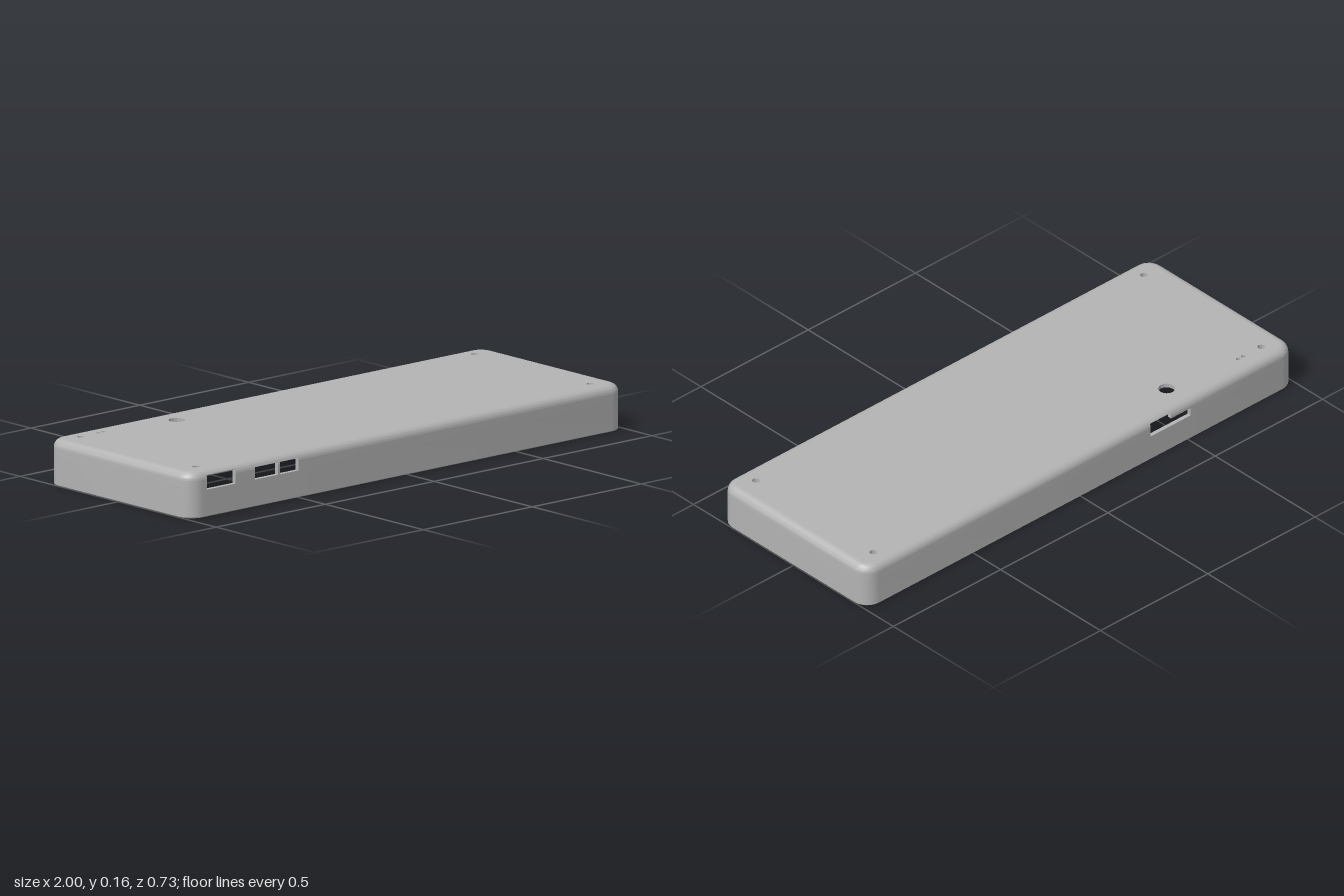
import * as THREE from 'three';
import { toCreasedNormals } from 'three/addons/utils/BufferGeometryUtils.js';

const HX = 1, HZ = 0.365, H = 0.16, R = 0.06, EDGE = 0.03, WALL = 0.015;
const X = HX - R, Z = HZ - R;

// Wall openings: side (+1 front, -1 back), x range, y range
const y30 = H - EDGE + EDGE * Math.sin(Math.PI / 6);
const y15 = H - EDGE + EDGE * Math.sin(Math.PI / 12);
const openings = [
  [1, -0.92, -0.79, 0.095, y30],
  [1, -0.70, -0.595, 0.095, y15],
  [1, -0.585, -0.50, 0.095, y15],
  [-1, -0.51, -0.42, 0.095, 0.125],
  [-1, -0.42, -0.325, 0.095, y30],
];

// Points around the outline: corner-arc centre (or straight point) plus outward normal
function outline() {
  const list = [];
  const corners = [[X, Z], [-X, Z], [-X, -Z], [X, -Z]];
  corners.forEach(([cx, cz], k) => {
    for (let i = 0; i <= 8; i++) {
      const a = (k + i / 8) * Math.PI / 2;
      list.push({ cx, cz, nx: Math.cos(a), nz: Math.sin(a) });
    }
    if (k % 2 === 0) {
      const side = k === 0 ? 1 : -1;
      const xs = new Set(openings.filter(o => o[0] === side).flatMap(o => [o[1], o[2]]));
      [...xs].sort((a, b) => (a - b) * -side)
        .forEach(x => list.push({ cx: x, cz, nx: 0, nz: side }));
    }
  });
  return list;
}

// Walls and rounded top edge, swept around the outline and skipping the openings
function shellGeometry() {
  const outer = [[0.003, 0], [0, 0.003], [0, 0.095], [0, 0.125]];
  const inner = outer.map(([, y]) => [WALL, y]);
  for (let i = 0; i <= 12; i++) {
    const a = i * Math.PI / 24, c = Math.cos(a), s = Math.sin(a), r = EDGE - WALL;
    outer.push([EDGE - EDGE * c, H - EDGE + EDGE * s]);
    inner.push([EDGE - r * c, H - EDGE + r * s]);
  }
  const st = outline(), n = st.length, m = outer.length - 1;
  const point = (prof, i, j) => {
    const s = st[i % n], [d, y] = prof[j];
    return [s.cx + s.nx * (R - d), y, s.cz + s.nz * (R - d)];
  };
  const isOpen = (i, j) => {
    if (j < 0) return true;
    if (j >= m) return false;
    const a = st[(i + n) % n], b = st[(i + 1) % n];
    const x = (a.cx + b.cx) / 2, y = (outer[j][1] + outer[j + 1][1]) / 2;
    return openings.some(o => Math.abs(a.nz - o[0]) < 1e-6 && Math.abs(b.nz - o[0]) < 1e-6
      && x > o[1] && x < o[2] && y > o[3] && y < o[4]);
  };
  const pos = [];
  const quad = (a, b, c, d) => pos.push(...a, ...b, ...c, ...a, ...c, ...d);
  for (let i = 0; i < n; i++) {
    for (let j = 0; j < m; j++) {
      if (isOpen(i, j)) continue;
      const ids = [[i, j], [i, j + 1], [i + 1, j + 1], [i + 1, j]];
      const O = ids.map(([p, q]) => point(outer, p, q));
      const I = ids.map(([p, q]) => point(inner, p, q));
      quad(...O);
      quad(I[0], I[3], I[2], I[1]);
      // Cut faces beside an opening and along the bottom rim
      [[i - 1, j], [i, j + 1], [i + 1, j], [i, j - 1]].forEach(([p, q], k) => {
        const l = (k + 1) % 4;
        if (isOpen(p, q)) quad(O[l], O[k], I[k], I[l]);
      });
    }
  }
  const g = new THREE.BufferGeometry();
  g.setAttribute('position', new THREE.Float32BufferAttribute(pos, 3));
  return toCreasedNormals(g, 0.6);
}

const corners = [[-0.904, -0.297], [0.904, -0.297], [-0.904, 0.291], [0.904, 0.291]];

// Flat top with screw, indicator and button holes
function topGeometry() {
  const x = HX - EDGE, z = HZ - EDGE, r = R - EDGE;
  const s = new THREE.Shape();
  s.absarc(x - r, z - r, r, 0, Math.PI / 2);
  s.absarc(-x + r, z - r, r, Math.PI / 2, Math.PI);
  s.absarc(-x + r, -z + r, r, Math.PI, Math.PI * 1.5);
  s.absarc(x - r, -z + r, r, Math.PI * 1.5, Math.PI * 2);
  s.closePath();
  const holes = corners.map(([a, b]) => [a, b, 0.013]);
  holes.push([-0.82, -0.297, 0.008], [-0.797, -0.297, 0.008], [-0.497, -0.26, 0.029]);
  for (const [hx, hz, hr] of holes) {
    const p = new THREE.Path();
    p.absarc(hx, -hz, hr, 0, Math.PI * 2, true);
    s.holes.push(p);
  }
  const g = new THREE.ExtrudeGeometry(s, { depth: WALL, bevelEnabled: false, curveSegments: 8 });
  g.rotateX(-Math.PI / 2);
  g.translate(0, H - WALL, 0);
  return g;
}

// Hollow post hanging down from the inside of the top
function postGeometry(ri, ro, y0, y1, blind) {
  const pts = [[ri, y1], [ri, y0], [ro, y0], [ro, y1]];
  if (blind) pts.unshift([0, y1]);
  const g = new THREE.LatheGeometry(pts.map(p => new THREE.Vector2(...p)), 20);
  return toCreasedNormals(g, 0.6);
}

export function createModel() {
  const group = new THREE.Group();
  group.name = 'enclosureCover';
  const grey = new THREE.MeshStandardMaterial({ color: 0xb3b3b3 });
  grey.name = 'grey plastic';
  const add = (name, geo, x = 0, z = 0) => {
    const mesh = new THREE.Mesh(geo, grey);
    mesh.name = name;
    mesh.position.set(x, 0, z);
    group.add(mesh);
  };

  add('walls', shellGeometry());
  add('topPlate', topGeometry());

  const ceiling = H - WALL + 0.001;
  for (const [x, z] of corners) add('screwPost', postGeometry(0.013, 0.022, 0.002, ceiling), x, z);

  // Short posts that carry the circuit board
  for (const [x, z] of [[-0.23, 0.297], [-0.23, 0.03], [-0.23, -0.22]]) {
    add('boardPost', postGeometry(0.009, 0.018, 0.09, ceiling, true), x, z);
  }
  add('widePost', postGeometry(0.014, 0.03, 0.1, ceiling), -0.9, 0.293);

  // Stub near the rim, against the front wall
  add('rimStub', postGeometry(0.012, 0.028, 0.002, 0.06, true), -0.17, 0.323);
  return group;
}
